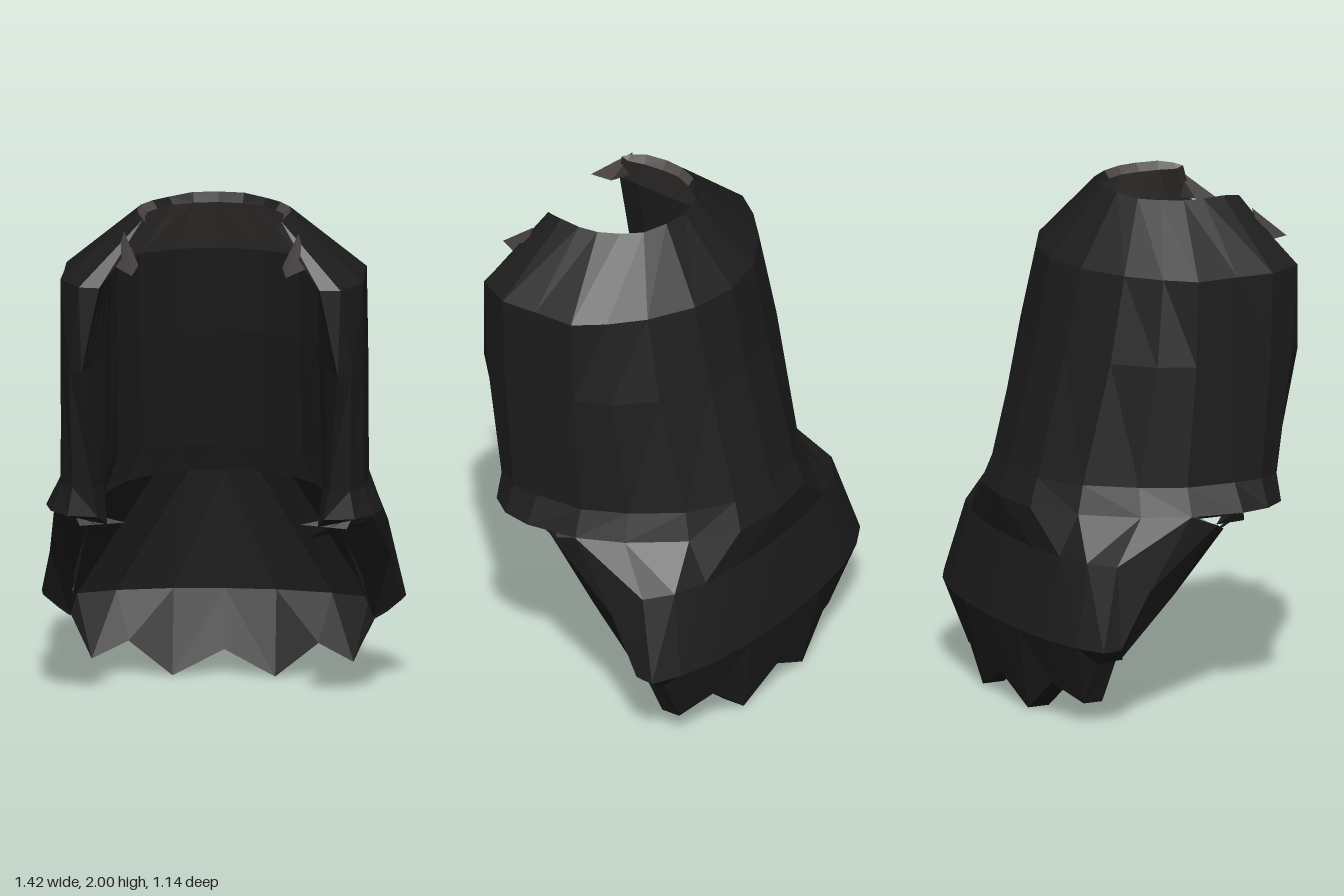
import * as THREE from 'three';

const opts = { flatShading: true, side: THREE.DoubleSide };
const black = new THREE.MeshStandardMaterial({ name: 'softBlack', color: 0x1d1d1d, ...opts });
const grey = new THREE.MeshStandardMaterial({ name: 'warmGrey', color: 0x4d4747, ...opts });

// half row, centre back to front: [x, z] at height y, or [x, y, z]
const row = (y, pts) => pts.map((p) => (p.length === 3 ? p : [p[0], y, p[1]]));
const mirrorX = ([x, y, z]) => [-x, y, z];
const full = (r) => [...r.slice(1).reverse().map(mirrorX), ...r];

function makeMesh(name, positions, indices, material) {
  const g = new THREE.BufferGeometry();
  g.setAttribute('position', new THREE.Float32BufferAttribute(positions.flat(), 3));
  g.setIndex(indices);
  g.computeVertexNormals();
  const mesh = new THREE.Mesh(g, material);
  mesh.name = name;
  return mesh;
}

// joins successive rows of equal length with quads, split symmetrically about x = 0
function loft(name, rows, material) {
  const n = rows[0].length;
  const idx = [];
  for (let r = 0; r < rows.length - 1; r++) {
    for (let i = 0; i < n - 1; i++) {
      const a = r * n + i, b = a + 1, c = a + n, d = c + 1;
      if (rows[0][i][0] < 0) idx.push(a, b, c, b, d, c);
      else idx.push(a, b, d, a, d, c);
    }
  }
  return makeMesh(name, rows.flat(), idx, material);
}

// strip built on both sides
function loftPair(group, name, rows, material) {
  group.add(loft(name + 'Left', rows, material));
  group.add(loft(name + 'Right', rows.map((r) => r.map(mirrorX)), material));
}

// small four-cornered strand on both sides
function spikePair(group, name, corners, material) {
  const faces = [0, 1, 2, 0, 2, 3, 0, 3, 1, 1, 3, 2];
  group.add(makeMesh(name + 'Left', corners, faces, material));
  group.add(makeMesh(name + 'Right', corners.map(mirrorX), faces, material));
}

export function createModel() {
  const model = new THREE.Group();
  model.name = 'hairpiece';

  // main shell, top to flared rim
  const outer = [
    row(1.99, [[0, 2, -.08], [.1, 2, -.065], [.19, -.02], [.25, .05], [.29, .13],
      [.3, .21], [.29, .3], [.27, 1.98, .36], [.25, 1.97, .39]]),
    row(1.74, [[0, -.31], [.2, -.27], [.38, -.17], [.5, -.06], [.585, .05],
      [.585, .22], [.59, .37], [.51, .515], [.43, .525]]),
    row(1.4, [[0, -.37], [.2, -.34], [.4, -.24], [.53, -.1], [.59, .04],
      [.595, .22], [.59, .36], [.55, .47], [.5, .52]]),
    row(.92, [[0, -.49], [.2, -.46], [.38, -.35], [.51, -.17], [.59, 0],
      [.6, .2], [.59, .32], [.54, .41], [.46, .44]]),
    row(.81, [[0, -.53], [.22, -.5], [.4, -.38], [.55, -.18], [.63, 0],
      [.655, .21], [.63, .33], [.56, .42], [.44, .44]]),
  ];
  // inner wall, meeting the outer wall along the front edge
  const inner = [
    row(1.96, [[0, -.07], [.095, -.055], [.175, -.015], [.23, .06], [.265, .13],
      [.27, .21], [.265, .29], [.25, .36]]),
    row(1.74, [[0, -.25], [.16, -.22], [.31, -.12], [.39, 0], [.41, .1],
      [.41, .22], [.415, .32], [.42, .43]]),
    row(1.4, [[0, -.31], [.16, -.28], [.31, -.18], [.39, -.05], [.42, .07],
      [.42, .2], [.44, .31], [.47, .42]]),
    row(.92, [[0, -.43], [.16, -.4], [.31, -.3], [.4, -.15], [.42, 0],
      [.42, .17], [.43, .26], [.44, .35]]),
    row(.81, [[0, -.46], [.14, -.44], [.27, -.36], [.37, -.22], [.44, 0],
      [.46, .75, .12], [.43, .74, .24], [.41, .76, .33]]),
  ].map((r, i) => [...r, outer[i][8]]);
  model.add(loft('outerShell', outer.map(full), black));
  model.add(loft('crownLining', inner.slice(0, 2).map(full), grey));
  model.add(loft('innerShell', inner.slice(1).map(full), black));

  // top rim: dark at the back, lining colour at the sides
  const rim = [inner[0], outer[0]];
  model.add(loft('backRim', rim.map((r) => full(r.slice(0, 4))), black));
  loftPair(model, 'sideRim', rim.map((r) => r.slice(3)), grey);
  loftPair(model, 'shellUnderside', [outer[4], inner[4]].map((r) => r.slice(4)), black);

  // neck skirt with zigzag hem
  const skirtOuter = [
    [...outer[4].slice(0, 5), [.61, .76, .12], [.5, .71, .2]],
    row(.65, [[0, -.5], [.22, -.49], [.4, -.46], [.54, -.41], [.645, -.33],
      [.665, .54, -.2], [.56, .49, -.04]]),
    row(.33, [[0, -.57], [.24, -.56], [.44, -.53], [.6, -.48], [.71, -.42],
      [.7, .33, -.34], [.59, .27, -.28]]),
    row(0, [[0, .1, -.52], [.2, 0, -.5], [.37, .14, -.48], [.51, .08, -.41], [.6, .26, -.4],
      [.64, .28, -.34], [.59, .26, -.28]]),
  ];
  const skirtInner = [
    [...inner[4].slice(0, 6), [.5, .71, .2]],
    row(.33, [[0, -.5], [.2, -.49], [.42, -.44], [.57, -.37], [.59, -.31],
      [.59, .29, -.29], [.59, .27, -.28]]),
    row(0, [[0, .1, -.44], [.2, 0, -.41], [.37, .14, -.39], [.51, .08, -.33], [.59, .26, -.31],
      [.59, .26, -.29], [.59, .26, -.28]]),
  ];
  model.add(loft('skirtOuter', skirtOuter.map(full), black));
  model.add(loft('skirtInner', skirtInner.map(full), black));
  model.add(loft('skirtHem', [full(skirtOuter[3]), full(skirtInner[2])], black));

  // loose strands at the brow and under the jaw
  spikePair(model, 'browStrand', [[.3, 1.8, .57], [.34, 1.94, .4], [.38, 1.81, .43], [.28, 1.82, .46]], grey);
  spikePair(model, 'jawStrandUpper', [[.34, .76, .3], [.55, .8, .26], [.6, .76, .12], [.52, .74, .28]], black);
  spikePair(model, 'jawStrandLower', [[.37, .71, .32], [.5, .77, .28], [.6, .72, .1], [.48, .72, .2]], black);
  return model;
}
